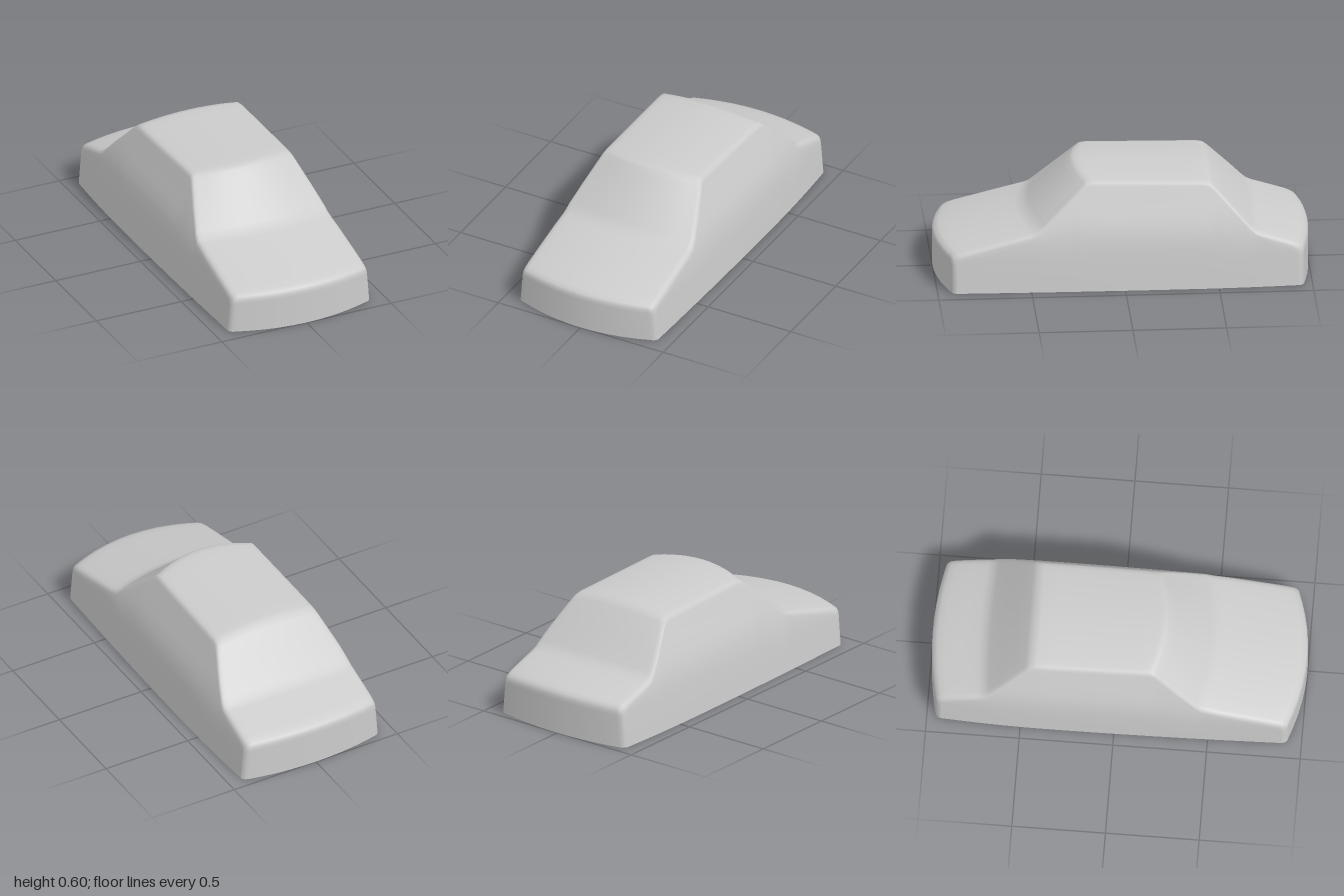
import * as THREE from 'three';
import { mergeVertices } from 'three/addons/utils/BufferGeometryUtils.js';

const SIDE_ROWS = 10;

// Half width of the body by height
const WIDTHS = [[0, 0.437], [0.1, 0.428], [0.2, 0.418], [0.27, 0.407], [0.33, 0.392], [0.38, 0.374], [0.43, 0.353], [0.57, 0.296]];
function widthAt(y) {
  for (let i = 1; i < WIDTHS.length; i++) {
    const [y0, w0] = WIDTHS[i - 1], [y1, w1] = WIDTHS[i];
    if (y <= y1) return THREE.MathUtils.lerp(w0, w1, (y - y0) / (y1 - y0));
  }
  return WIDTHS[WIDTHS.length - 1][1];
}

// The plan narrows gently towards both ends
function planAt(z) {
  const t = z > -0.35 ? (z + 0.35) / 1.25 : (z + 0.35) / 0.6;
  return 1 - 0.045 * t * t;
}

// Centre line, front to back: z, height, bow of the edges, corner setback
const PROFILE = [
  [1.0, 0.195, 0.07, 0.03], [0.992, 0.214, 0.07, 0.028], [0.965, 0.226, 0.068, 0.02], [0.92, 0.238, 0.066, 0.008],
  [0.56, 0.328, 0.058, 0], [0.52, 0.341, 0.056, 0], [0.485, 0.37, 0.055, 0],
  [0.295, 0.558, 0.055, 0], [0.268, 0.584, 0.054, 0], [0.25, 0.596, 0.052, 0], [0.215, 0.6, 0.045, 0],
  [-0.42, 0.587, 0.005, 0], [-0.455, 0.58, 0.003, 0], [-0.485, 0.557, 0, 0],
  [-0.685, 0.347, -0.015, 0], [-0.715, 0.322, -0.018, 0], [-0.75, 0.308, -0.02, 0],
  [-0.93, 0.257, -0.035, -0.008], [-0.97, 0.243, -0.04, -0.02], [-0.993, 0.23, -0.042, -0.025], [-1.0, 0.208, -0.042, -0.03],
];

// Split the long spans of the profile
function stations() {
  const out = [PROFILE[0]];
  for (let i = 1; i < PROFILE.length; i++) {
    const a = PROFILE[i - 1], b = PROFILE[i];
    const n = Math.max(1, Math.round(Math.abs(a[0] - b[0]) / 0.08));
    for (let k = 1; k <= n; k++) out.push(a.map((v, c) => THREE.MathUtils.lerp(v, b[c], k / n)));
  }
  return out;
}

// One cross-section from the left sill over the top to the right sill
function section([zc, yc, bow, setback]) {
  const crown = 0.012 + 0.01 * THREE.MathUtils.smoothstep(yc, 0.34, 0.58);
  const shoulder = yc - crown, edgeY = shoulder - 0.028;
  const edgeZ = zc - bow - setback, plan = planAt(edgeZ);
  const edgeX = widthAt(edgeY) * plan;
  const half = [];
  for (let k = 0; k <= SIDE_ROWS; k++) {
    const y = edgeY * k / SIDE_ROWS;
    half.push([widthAt(y) * plan, y, edgeZ]);
  }
  // Rounded shoulder
  half.push([edgeX - 0.006, edgeY + 0.014, zc - bow - setback * 0.55]);
  half.push([edgeX - 0.017, edgeY + 0.023, zc - bow - setback * 0.2]);
  // Crowned top
  const innerX = edgeX - 0.036;
  for (const u of [1, 0.85, 0.65, 0.43, 0.2]) {
    half.push([innerX * u, yc - crown * u * u, zc - bow * u * u]);
  }
  const mirrored = half.map(([x, y, z]) => [-x, y, z]).reverse();
  return [...half, [0, yc, zc], ...mirrored];
}

// End wall hanging from the upper part of a section, listed from sill to top
function endWall(sec) {
  const top = sec.slice(SIDE_ROWS, sec.length - SIDE_ROWS);
  const edgeY = top[0][1], rows = [];
  for (let k = 0; k <= SIDE_ROWS; k++) {
    const t = k / SIDE_ROWS, spread = widthAt(edgeY * t) / widthAt(edgeY);
    rows.push(top.map(([x, y, z]) => [x * spread, y * t, z]));
  }
  return rows;
}

function addGrid(positions, rows) {
  for (let j = 0; j < rows.length - 1; j++) {
    for (let i = 0; i < rows[j].length - 1; i++) {
      const a = rows[j][i], b = rows[j + 1][i], c = rows[j + 1][i + 1], d = rows[j][i + 1];
      positions.push(...a, ...b, ...d, ...b, ...c, ...d);
    }
  }
}

export function createModel() {
  const sections = stations().map(section);
  const positions = [];
  addGrid(positions, sections);
  addGrid(positions, endWall(sections[0]));
  addGrid(positions, endWall(sections[sections.length - 1]).reverse());

  let geometry = new THREE.BufferGeometry();
  geometry.setAttribute('position', new THREE.Float32BufferAttribute(positions, 3));
  geometry = mergeVertices(geometry, 1e-4);
  geometry.computeVertexNormals();

  // Hollow car body, open underneath
  const material = new THREE.MeshStandardMaterial({ color: 0xcccccc, side: THREE.DoubleSide });
  const body = new THREE.Mesh(geometry, material);
  body.name = 'bodyShell';

  const model = new THREE.Group();
  model.name = 'carBody';
  model.add(body);
  return model;
}
